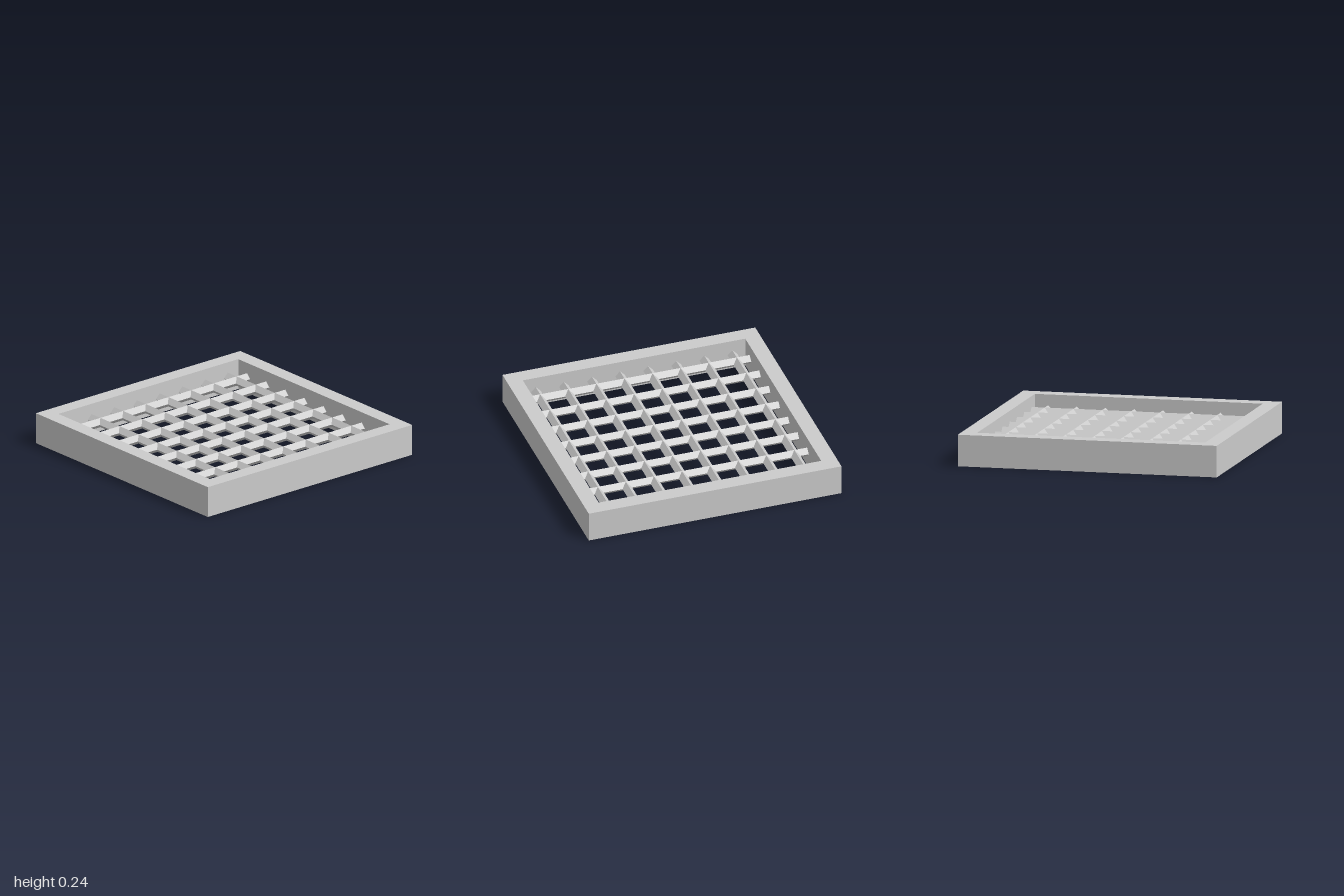
import * as THREE from 'three';

const HEIGHT = 0.24;   // frame height
const INNER = 0.88;    // half width of the opening
const COUNT = 8;       // bars in each direction
const PITCH = 2 / 9;   // spacing of the bars
const RADIUS = 0.0375; // half diagonal of the diamond-section bars

function square(PathType, h) {
  const p = new PathType();
  p.moveTo(-h, -h);
  p.lineTo(h, -h);
  p.lineTo(h, h);
  p.lineTo(-h, h);
  p.closePath();
  return p;
}

export function createModel() {
  const model = new THREE.Group();
  model.name = 'latticeTray';
  const material = new THREE.MeshStandardMaterial({ color: 0xcccccc, flatShading: true });

  // Square frame, open at top and bottom
  const outline = square(THREE.Shape, 1);
  outline.holes.push(square(THREE.Path, INNER));
  const frameGeometry = new THREE.ExtrudeGeometry(outline, { depth: HEIGHT, bevelEnabled: false });
  frameGeometry.rotateX(-Math.PI / 2);
  const frame = new THREE.Mesh(frameGeometry, material);
  frame.name = 'frame';
  model.add(frame);

  // Square bars standing on edge, crossing at mid height
  const bar = new THREE.CylinderGeometry(RADIUS, RADIUS, INNER * 2, 4);
  const alongX = bar.clone().rotateZ(Math.PI / 2);
  const alongZ = bar.clone().rotateX(Math.PI / 2);
  const lattice = new THREE.Group();
  lattice.name = 'lattice';
  lattice.position.y = HEIGHT / 2;
  for (let i = 0; i < COUNT; i++) {
    const offset = (i - (COUNT - 1) / 2) * PITCH;
    const crossBar = new THREE.Mesh(alongX, material);
    crossBar.name = 'crossBar';
    crossBar.position.z = offset;
    const lengthBar = new THREE.Mesh(alongZ, material);
    lengthBar.name = 'lengthBar';
    lengthBar.position.x = offset;
    lattice.add(crossBar, lengthBar);
  }
  model.add(lattice);

  return model;
}
